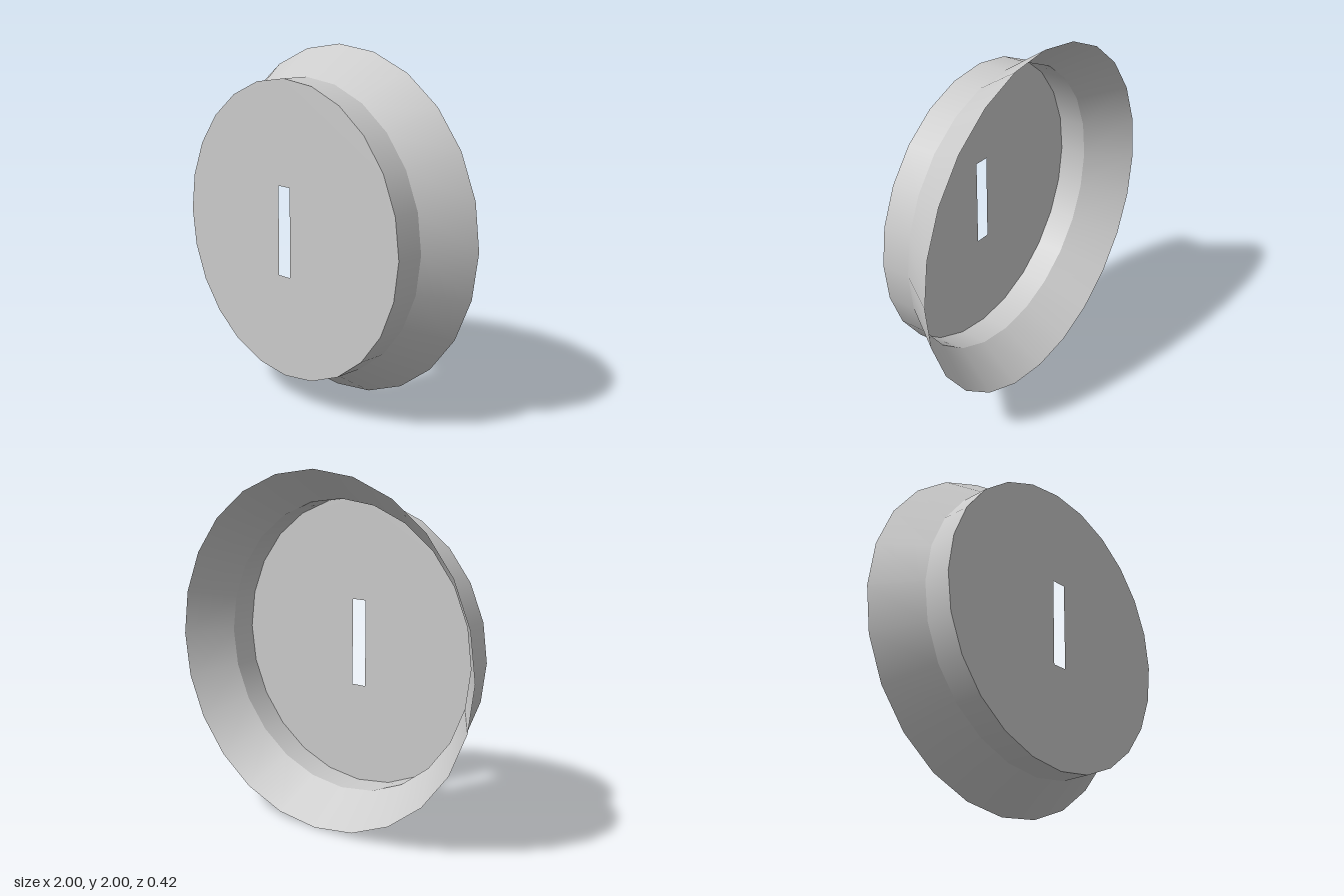
import * as THREE from 'three';

const SIDES = 24;
const FACE_RADIUS = 0.833, RIM_RADIUS = 1;
const FRONT_Z = 0.208, STEP_Z = 0.042, BACK_Z = -0.208;

export function createModel() {
  const group = new THREE.Group();
  group.name = 'slottedFlaredCap';
  const material = new THREE.MeshStandardMaterial({ color: 0xcccccc, side: THREE.DoubleSide });

  const add = (name, geometry) => {
    const mesh = new THREE.Mesh(geometry, material);
    mesh.name = name;
    mesh.position.y = 1;
    group.add(mesh);
  };

  // open band around the z axis, from the front radius to the back radius
  const band = (frontRadius, backRadius, frontZ, backZ) =>
    new THREE.CylinderGeometry(frontRadius, backRadius, frontZ - backZ, SIDES, 1, true)
      .rotateX(Math.PI / 2)
      .translate(0, 0, (frontZ + backZ) / 2);

  // flat front plate with an upright slot
  const outline = [];
  for (let i = 0; i < SIDES; i++) {
    const a = (i / SIDES) * Math.PI * 2;
    outline.push(new THREE.Vector2(FACE_RADIUS * Math.cos(a), FACE_RADIUS * Math.sin(a)));
  }
  const plate = new THREE.Shape(outline);
  const w = 0.045, h = 0.252;
  plate.holes.push(new THREE.Path([
    new THREE.Vector2(-w, -h), new THREE.Vector2(-w, h),
    new THREE.Vector2(w, h), new THREE.Vector2(w, -h),
  ]));
  add('frontPlate', new THREE.ShapeGeometry(plate).translate(0, 0, FRONT_Z));

  // straight wall, then the skirt flaring out to the open back
  add('sideWall', band(FACE_RADIUS, FACE_RADIUS, FRONT_Z, STEP_Z));
  add('flaredSkirt', band(FACE_RADIUS, RIM_RADIUS, STEP_Z, BACK_Z));

  return group;
}
